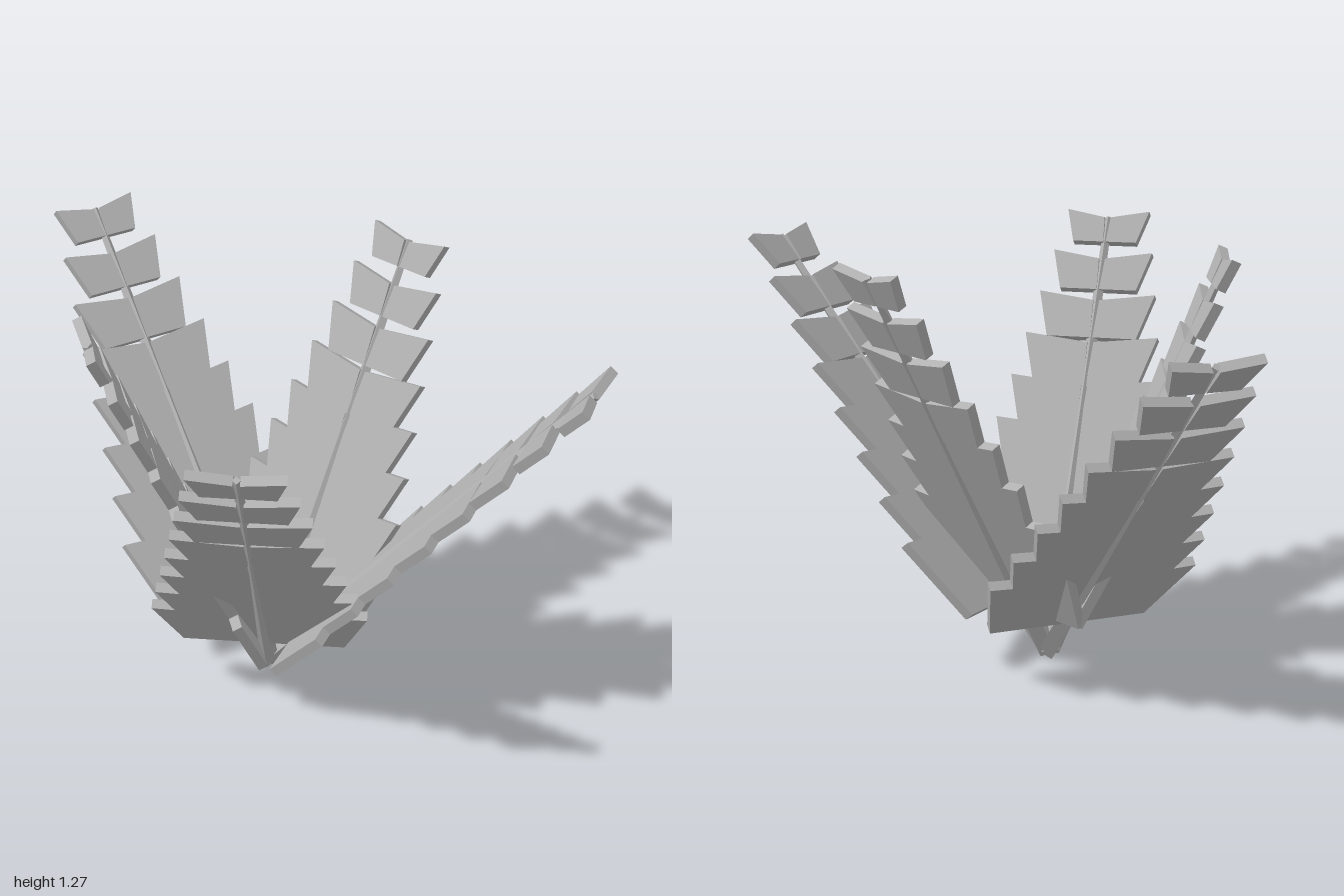
import * as THREE from 'three';

const BASE = new THREE.Vector3(-0.015, 0.022, -0.05);
// Tip of each frond
const TIPS = [
  [0.98, 1.23, -0.055],
  [0.245, 1.24, 0.755],
  [0.19, 1.265, -0.68],
  [-0.92, 1.14, -0.70],
  [-0.45, 1.235, 0.265],
];
const TIERS = 8;
const THICKNESS = 0.03;

// One leaflet: a flared plate on the side given by sign (+1 or -1)
function leafletGeometry(sign, top, length, halfWidth) {
  const low = top - length;
  const shape = new THREE.Shape([
    new THREE.Vector2(sign * 0.004, low),
    new THREE.Vector2(sign * halfWidth * 0.77, low),
    new THREE.Vector2(sign * halfWidth, top),
    new THREE.Vector2(sign * 0.01, top - 0.025),
  ]);
  const geometry = new THREE.ExtrudeGeometry(shape, { depth: THICKNESS, bevelEnabled: false });
  return geometry.translate(0, 0, -THICKNESS / 2);
}

// A frond grows along +y with its upper face towards +z
function createFrond(length, material) {
  const frond = new THREE.Group();
  frond.name = 'frond';

  const stemGeometry = new THREE.CylinderGeometry(0.012, 0.035, length - 0.02, 4);
  const stem = new THREE.Mesh(stemGeometry.translate(0, (length - 0.02) / 2, 0), material);
  stem.name = 'stem';
  frond.add(stem);

  // Leaflets get wider and longer towards the base
  for (let k = 0; k < TIERS; k++) {
    const top = length * (1 - 0.0995 * k);
    const size = length * (0.076 + 0.0146 * k);
    for (const sign of [1, -1]) {
      const leaflet = new THREE.Mesh(leafletGeometry(sign, top, size, 0.135 + 0.027 * k), material);
      leaflet.name = sign > 0 ? 'leftLeaflet' : 'rightLeaflet';
      frond.add(leaflet);
    }
  }
  return frond;
}

export function createModel() {
  const model = new THREE.Group();
  model.name = 'fernPlant';
  const material = new THREE.MeshStandardMaterial({ color: 0xb0b0b0, flatShading: true });
  material.name = 'leafGrey';

  // Fronds fan out from the shared base
  for (const tip of TIPS) {
    const d = new THREE.Vector3(...tip).sub(BASE);
    const frond = createFrond(d.length(), material);
    frond.position.copy(BASE);
    frond.rotation.order = 'YXZ';
    // The upper face looks inwards, towards the plant's axis
    frond.rotation.y = Math.atan2(-d.x, -d.z);
    frond.rotation.x = -Math.atan2(Math.hypot(d.x, d.z), d.y);
    model.add(frond);
  }
  return model;
}
